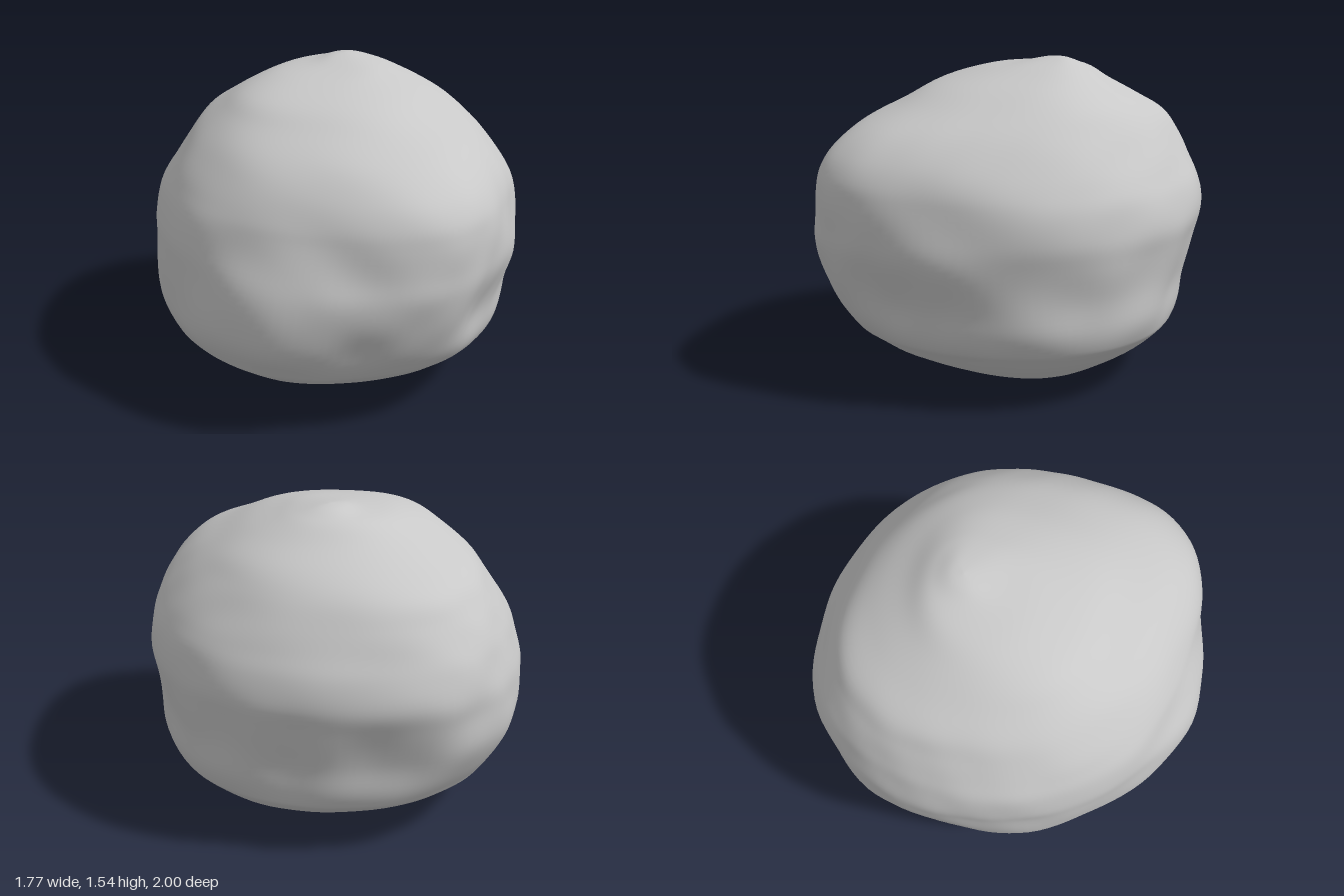
import * as THREE from 'three';

// Widest outline seen from above: x, z
const OUTLINE = [
  [0.03, 0.99], [0.145, 0.97], [0.29, 0.865], [0.5, 0.73], [0.66, 0.57], [0.79, 0.37], [0.86, 0.13],
  [0.88, -0.05], [0.84, -0.27], [0.78, -0.4], [0.67, -0.54], [0.56, -0.68], [0.4, -0.8], [0.27, -0.9],
  [0.13, -0.98], [0, -1], [-0.26, -0.97], [-0.5, -0.82], [-0.66, -0.64], [-0.8, -0.42], [-0.87, -0.19],
  [-0.885, 0], [-0.87, 0.32], [-0.79, 0.59], [-0.71, 0.72], [-0.55, 0.83], [-0.37, 0.89], [-0.18, 0.96],
];

// Level sections: height, left edge (-x), right edge (+x), front edge (+z), back edge (-z)
const LEVELS = [
  [0, 0.03, 0.03, 0.02, 0.02], [0.004, -0.2, 0.25, 0.12, -0.1], [0.03, -0.35, 0.38, 0.27, -0.24],
  [0.08, -0.49, 0.53, 0.435, -0.4], [0.16, -0.65, 0.66, 0.63, -0.65], [0.25, -0.785, 0.765, 0.77, -0.8],
  [0.3, -0.83, 0.805, 0.83, -0.845], [0.4, -0.875, 0.84, 0.9, -0.905], [0.55, -0.888, 0.852, 0.965, -0.965],
  [0.7, -0.888, 0.87, 1, -0.99], [0.82, -0.888, 0.885, 1, -1], [0.95, -0.865, 0.865, 1, -0.965],
  [1.05, -0.81, 0.815, 0.98, -0.92], [1.15, -0.74, 0.745, 0.91, -0.865], [1.25, -0.655, 0.665, 0.78, -0.79],
  [1.34, -0.555, 0.58, 0.57, -0.635], [1.42, -0.44, 0.46, 0.39, -0.485], [1.48, -0.255, 0.35, 0.18, -0.38],
  [1.51, -0.05, 0.28, 0.04, -0.29], [1.535, 0.06, 0.2, -0.1, -0.22], [1.543, 0.13, 0.13, -0.16, -0.16],
];

// Smooth interpolation of one column of the level table
function level(t, column) {
  const last = LEVELS.length - 1;
  const i = Math.min(Math.floor(t), last - 1);
  const f = t - i;
  const at = (k) => LEVELS[THREE.MathUtils.clamp(k, 0, last)][column];
  const a = at(i), b = at(i + 1);
  const ta = (b - at(i - 1)) / 2, tb = (at(i + 2) - a) / 2;
  return (2 * f ** 3 - 3 * f ** 2 + 1) * a + (f ** 3 - 2 * f ** 2 + f) * ta
    + (3 * f ** 2 - 2 * f ** 3) * b + (f ** 3 - f ** 2) * tb;
}

// Soft weathered lumps
function lumps(x, y, z) {
  return 0.5 * Math.sin(7 * x + 3 * y + 1.3) * Math.sin(8 * y - 4 * z)
    + 0.35 * Math.sin(11 * z + 5 * x) * Math.sin(13 * y + 2 * x + 0.7)
    + 0.2 * Math.sin(19 * x - 9 * z) * Math.sin(17 * y + 8 * z);
}

// The angular outline holds at mid height and rounds off towards the crown and the foot
function sectionPoint(p, y) {
  const angle = Math.atan2(p.z, p.x);
  const crown = THREE.MathUtils.smoothstep(y, 0.5, 0.98);
  const foot = 0.65 * (1 - THREE.MathUtils.smoothstep(y, 0.25, 0.5));
  const pinch = (p.z > 0 ? 0.07 : 0.03) * Math.sin(2 * angle) ** 2 * crown;
  const round = new THREE.Vector3(Math.cos(angle), 0, Math.sin(angle)).multiplyScalar(1 - pinch);
  return p.clone().lerp(round, crown + foot);
}

function boulderGeometry(around = 112, steps = 5) {
  const curve = new THREE.CatmullRomCurve3(OUTLINE.map(([x, z]) => new THREE.Vector3(x / 0.883, 0, z)), true);
  const outline = curve.getSpacedPoints(around).slice(0, around);
  const rows = (LEVELS.length - 1) * steps;
  const positions = [], index = [];

  // Pole at the foot, rings, pole at the crown
  positions.push(LEVELS[0][1], 0, LEVELS[0][3]);
  for (let j = 1; j < rows; j++) {
    const [y, l, r, f, b] = [0, 1, 2, 3, 4].map((c) => level(j / steps, c));
    const cx = (l + r) / 2, cz = (f + b) / 2;
    const fade = Math.min(1, (r - l) / 1.4) ** 2;
    for (const point of outline) {
      const p = sectionPoint(point, y);
      const x = cx + p.x * (r - l) / 2, z = cz + p.z * (f - b) / 2;
      const s = 1 + 0.014 * fade * lumps(x, y, z);
      positions.push(cx + (x - cx) * s, Math.max(0, y), cz + (z - cz) * s);
    }
  }
  const top = LEVELS[LEVELS.length - 1];
  positions.push(top[1], top[0], top[3]);

  const crown = positions.length / 3 - 1;
  const at = (j, i) => 1 + (j - 1) * around + (i % around);
  for (let i = 0; i < around; i++) {
    index.push(0, at(1, i + 1), at(1, i));
    for (let j = 1; j < rows - 1; j++) {
      const a = at(j, i), b = at(j, i + 1), c = at(j + 1, i + 1), d = at(j + 1, i);
      index.push(a, b, c, a, c, d);
    }
    index.push(crown, at(rows - 1, i), at(rows - 1, i + 1));
  }

  const geometry = new THREE.BufferGeometry();
  geometry.setAttribute('position', new THREE.Float32BufferAttribute(positions, 3));
  geometry.setIndex(index);
  geometry.computeVertexNormals();
  return geometry;
}

export function createModel() {
  const stone = new THREE.MeshStandardMaterial({ color: 0xc8c8c8 });
  stone.name = 'grey stone';
  const boulder = new THREE.Mesh(boulderGeometry(), stone);
  boulder.name = 'boulder';
  const group = new THREE.Group();
  group.name = 'rock';
  group.add(boulder);
  return group;
}
